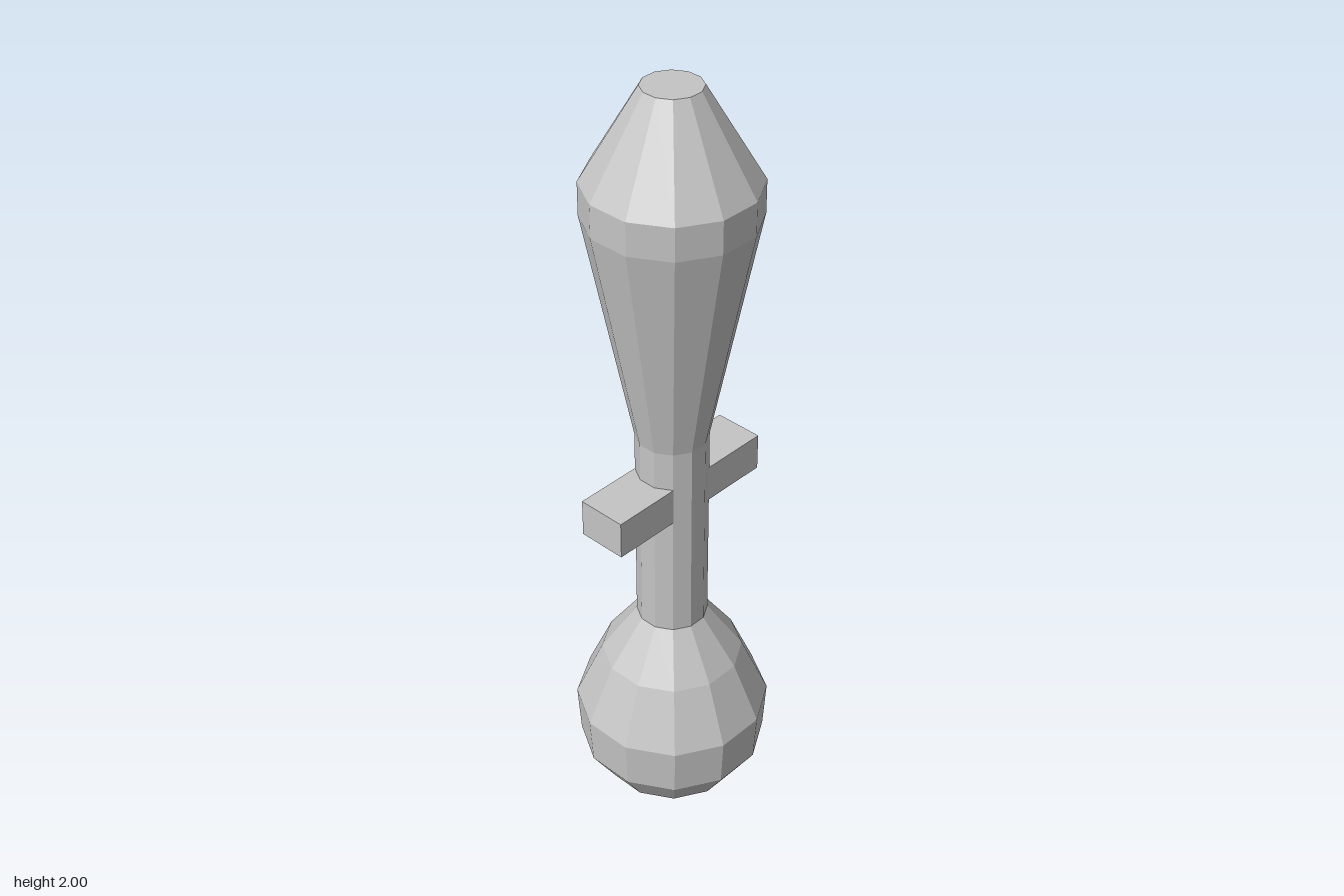
import * as THREE from 'three';

const SIDES = 12;

// Twelve-sided turned form with flat faces towards the axes; profile is [half width across flats, y]
function turned(name, profile, material) {
  const k = 1 / Math.cos(Math.PI / SIDES);
  const points = profile.map(([r, y]) => new THREE.Vector2(r * k, y));
  const mesh = new THREE.Mesh(new THREE.LatheGeometry(points, SIDES, Math.PI / SIDES), material);
  mesh.name = name;
  return mesh;
}

export function createModel() {
  const group = new THREE.Group();
  group.name = 'turnedClub';
  const grey = new THREE.MeshStandardMaterial({ color: 0xc4c4c4, flatShading: true });
  grey.name = 'grey';

  // Bulbous foot, slender shaft and flared head
  group.add(turned('bulbBase', [[0, 0], [0.175, 0], [0.237, 0.1], [0.245, 0.235], [0.177, 0.395], [0.088, 0.525]], grey));
  group.add(turned('shaft', [[0.088, 0.525], [0.088, 1.08]], grey));
  group.add(turned('head', [[0.088, 1.08], [0.203, 1.685], [0.203, 1.77], [0.07, 2], [0, 2]], grey));

  // Crossbar through the shaft
  const bar = new THREE.Mesh(new THREE.BoxGeometry(0.49, 0.1, 0.13), grey);
  bar.name = 'crossbar';
  bar.position.y = 0.925;
  group.add(bar);

  return group;
}
